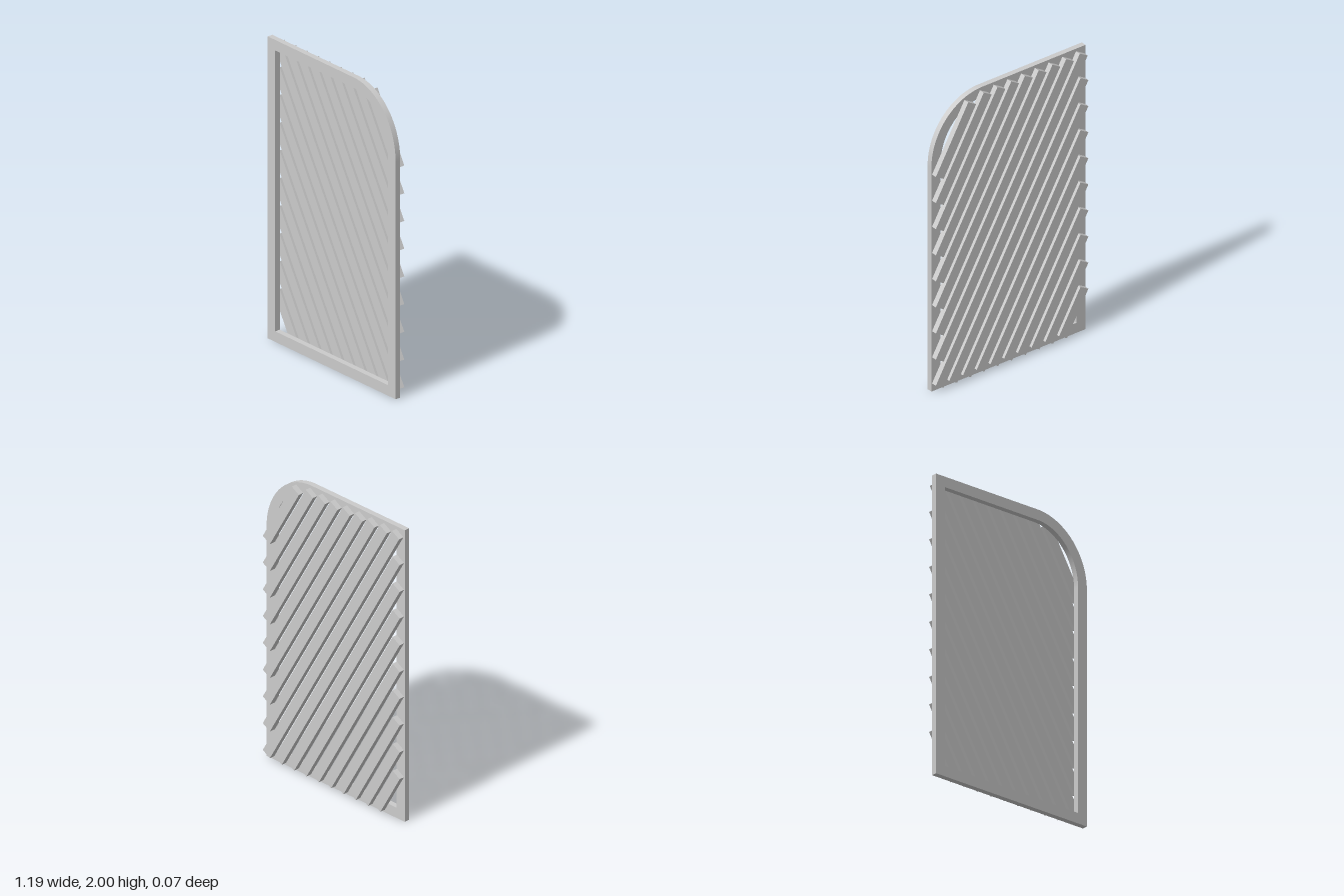
import * as THREE from 'three';
import { toCreasedNormals } from 'three/addons/utils/BufferGeometryUtils.js';

const HALF_W = 0.595, HEIGHT = 2, BAR = 0.07, DEPTH = 0.037;
const ARCH_X = 0.205, ARCH_Y = 1.575; // centre of the rounded corner
const material = new THREE.MeshStandardMaterial({ color: 0xcccccc });

// Extrude a flat outline forward from z = 0
function addPanel(parent, name, shape) {
  let geometry = new THREE.ExtrudeGeometry(shape, { depth: DEPTH, bevelEnabled: false, curveSegments: 32 });
  geometry = toCreasedNormals(geometry, Math.PI / 6);
  const mesh = new THREE.Mesh(geometry, material);
  mesh.name = name;
  parent.add(mesh);
}

const polygon = (...points) => new THREE.Shape(points.map(([x, y]) => new THREE.Vector2(x, y)));

function createFrame() {
  const frame = new THREE.Group();
  frame.name = 'frame';
  const inner = HALF_W - BAR, top = HEIGHT - BAR;

  // Straight bars, mitred at the square top corner
  addPanel(frame, 'rightStile', polygon([-HALF_W, 0], [-inner, 0], [-inner, top], [-HALF_W, HEIGHT]));
  addPanel(frame, 'topRail', polygon([-inner, top], [ARCH_X, top], [ARCH_X, HEIGHT], [-HALF_W, HEIGHT]));
  addPanel(frame, 'bottomRail', polygon([-inner, 0], [inner, 0], [inner, BAR], [-inner, BAR]));
  addPanel(frame, 'leftStile', polygon([inner, 0], [HALF_W, 0], [HALF_W, ARCH_Y], [inner, ARCH_Y]));

  // Rounded corner
  const rx = HALF_W - ARCH_X, ry = HEIGHT - ARCH_Y;
  const arch = new THREE.Shape();
  arch.moveTo(HALF_W, ARCH_Y);
  arch.absellipse(ARCH_X, ARCH_Y, rx, ry, 0, Math.PI / 2, false);
  arch.lineTo(ARCH_X, top);
  arch.absellipse(ARCH_X, ARCH_Y, rx - BAR, ry - BAR, Math.PI / 2, 0, true);
  arch.closePath();
  addPanel(frame, 'cornerArch', arch);
  return frame;
}

function createSlats() {
  const slats = new THREE.Group();
  slats.name = 'slats';
  const COUNT = 18, PITCH = 0.106, SLOPE = Math.sqrt(3);
  const angle = -Math.PI / 3;
  const across = new THREE.Vector2(Math.cos(Math.PI / 6), Math.sin(Math.PI / 6));

  for (let i = 0; i < COUNT; i++) {
    // Upper edge of each slat follows x + y / SLOPE = c
    const c = 1.4705 - PITCH * i;
    const topY = i === 0 ? 1.958 : 1.982;
    const startX = Math.max(c - topY / SLOPE, -0.527);
    const endX = Math.min(c - 0.052 / SLOPE, 0.59);
    const midX = (startX + endX) / 2;
    const length = (endX - startX) * 2;

    const slat = new THREE.Mesh(new THREE.BoxGeometry(length, BAR, DEPTH), material);
    slat.name = 'slat' + (i + 1);
    slat.position.set(midX - across.x * BAR / 2, (c - midX) * SLOPE - across.y * BAR / 2, -DEPTH / 2);
    slat.rotation.z = angle;
    slats.add(slat);
  }
  return slats;
}

export function createModel() {
  const model = new THREE.Group();
  model.name = 'slattedScreen';
  model.add(createFrame(), createSlats());
  return model;
}
